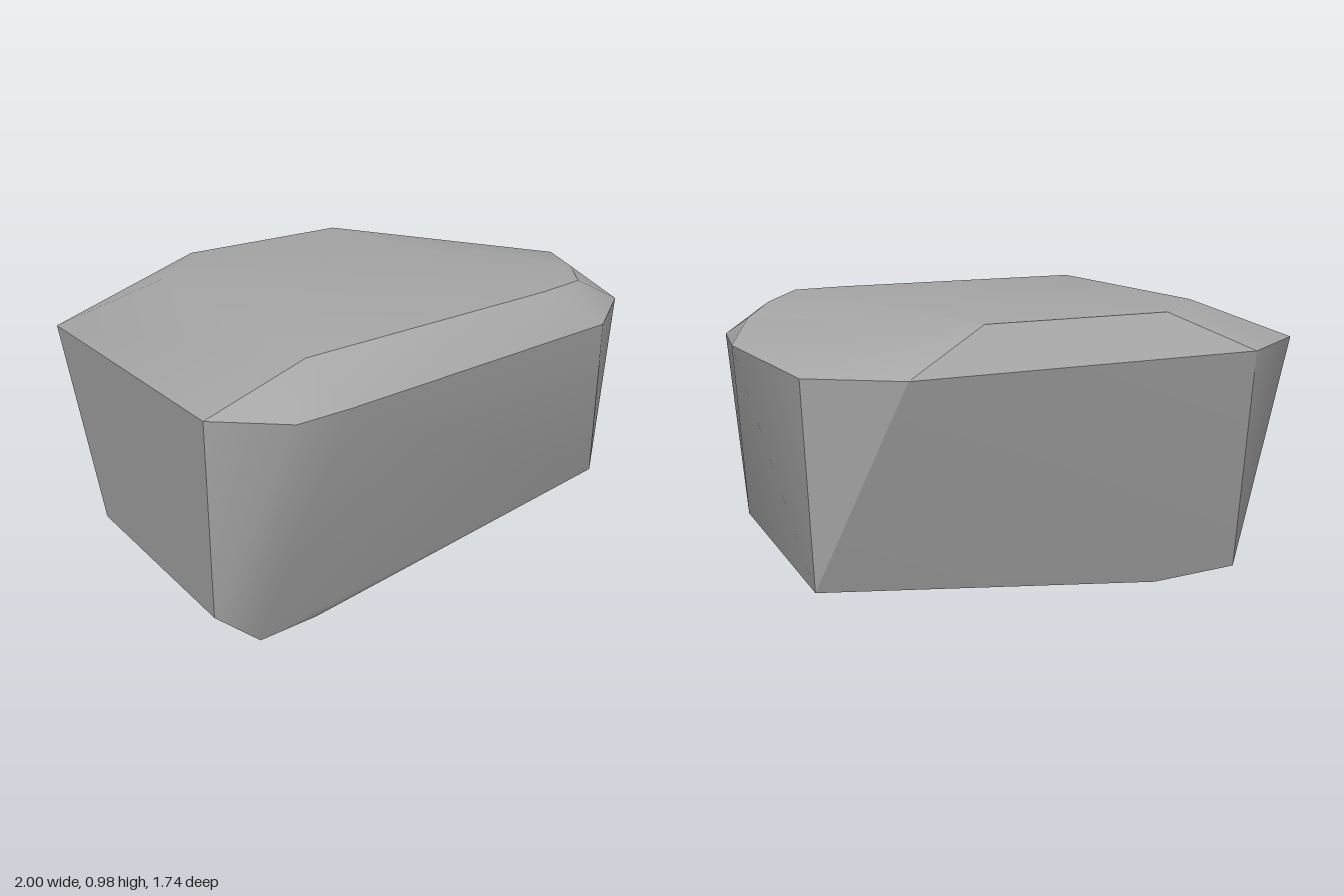
import * as THREE from 'three';
import { ConvexGeometry } from 'three/addons/geometries/ConvexGeometry.js';
import { toCreasedNormals } from 'three/addons/utils/BufferGeometryUtils.js';

// Corner rings of the boulder as [x, y, z]
const crown = [
  [-0.64, 0.98, -0.05], [-0.2, 0.975, 0.73], [0.64, 0.98, 0.23], [0.79, 0.98, 0.12],
  [0.83, 0.965, -0.1], [0.83, 0.945, -0.35], [0.02, 0.98, -0.67], [-0.54, 0.98, -0.37],
];
const rim = [
  [-1, 0.845, 0], [-0.5, 0.845, 0.85], [-0.24, 0.83, 0.87], [-0.08, 0.845, 0.81],
  [0.865, 0.845, 0.2], [1, 0.845, -0.07], [0.84, 0.88, -0.51],
  [0.54, 0.845, -0.85], [0.22, 0.845, -0.87], [-0.84, 0.845, -0.3],
];
const lowerEdge = [
  [-0.87, 0.195, 0.19], [-0.5, 0.17, 0.82], [0.94, 0.18, 0], [0.95, 0.175, -0.08], [0.53, 0.17, -0.81],
];
const base = [
  [-0.83, 0.015, -0.08], [-0.36, 0.012, 0.73], [-0.17, 0, 0.6], [-0.54, 0, -0.22],
];

export function createModel() {
  const group = new THREE.Group();
  group.name = 'boulder';

  const stone = new THREE.MeshStandardMaterial({ color: 0xa6a6a6 });
  stone.name = 'grey stone';

  // Hull through the rings; shallow bends are smooth, steep ones stay sharp
  const points = [...crown, ...rim, ...lowerEdge, ...base].map((p) => new THREE.Vector3(...p));
  const rock = new THREE.Mesh(toCreasedNormals(new ConvexGeometry(points), 0.52), stone);
  rock.name = 'rock';
  group.add(rock);
  return group;
}
